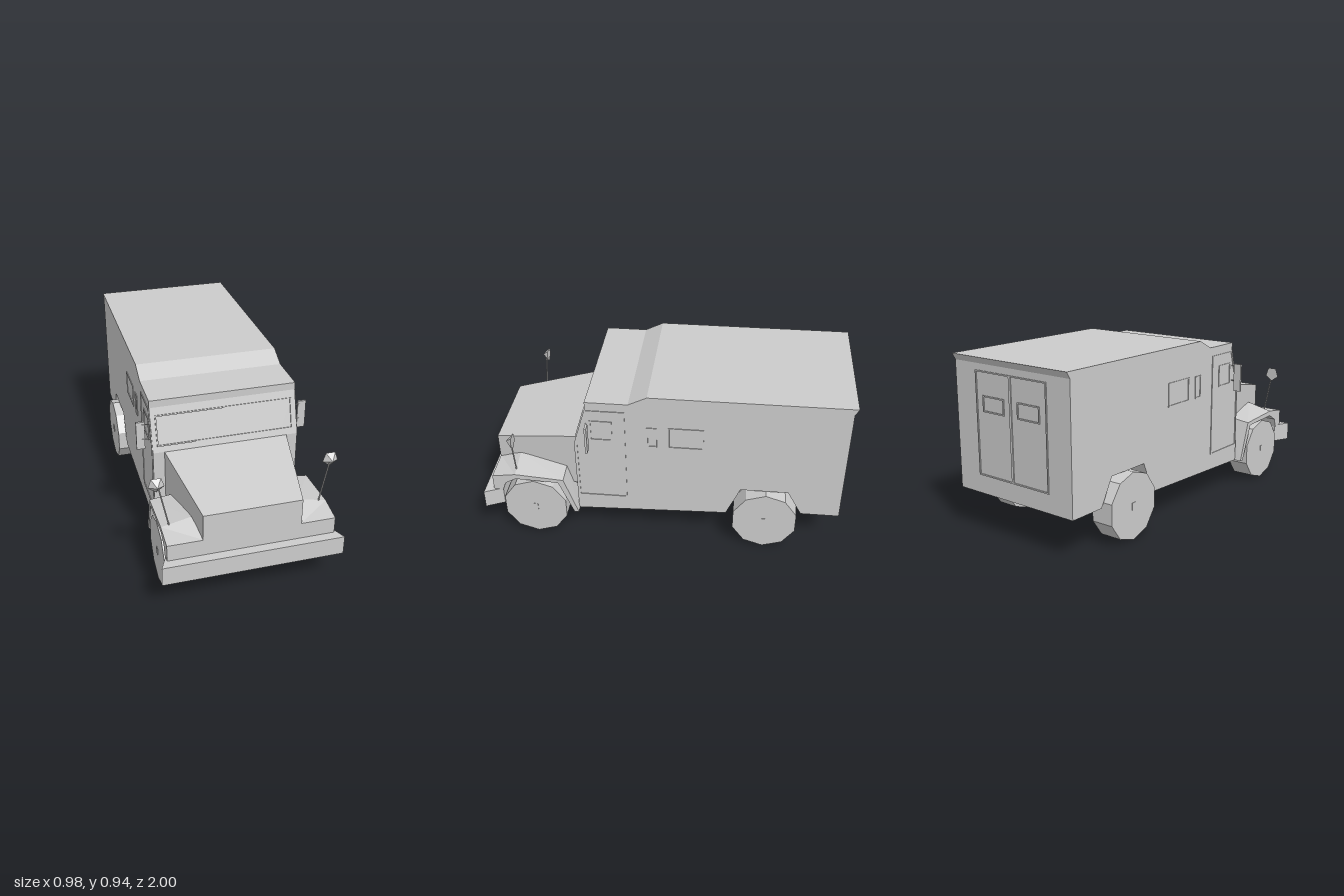
import * as THREE from 'three';

const mat = new THREE.MeshStandardMaterial({ color: 0xcccccc, flatShading: true, side: THREE.DoubleSide });

export function createModel() {
  const root = new THREE.Group();
  const add = (name, geo, parent = root) => {
    const m = new THREE.Mesh(geo, mat);
    m.name = name;
    parent.add(m);
    return m;
  };
  const shape = pts => new THREE.Shape(pts.map(p => new THREE.Vector2(...p)));
  const extrude = (s, depth) => new THREE.ExtrudeGeometry(s, { depth, bevelEnabled: false });

  // Side outline of (z, y) points extruded between two x positions
  const across = (s, x0, x1) => extrude(s, x1 - x0).rotateY(-Math.PI / 2).translate(x1, 0, 0);

  // Thin outline following a polygon
  const frame = (pts, w = 0.007) => {
    const c = [0, 1].map(k => pts.reduce((a, p) => a + p[k], 0) / pts.length);
    const s = shape(pts);
    s.holes.push(new THREE.Path(pts.map(p =>
      new THREE.Vector2(...p.map((v, k) => v - Math.sign(v - c[k]) * w)))));
    return s;
  };
  const rect = (a0, a1, b0, b1) => [[a0, b0], [a1, b0], [a1, b1], [a0, b1]];

  // Solid through a row of cross-sections
  const loft = rings => {
    const v = [], n = rings[0].length;
    const tri = (a, b, c) => v.push(...a, ...b, ...c);
    for (let i = 0; i < rings.length - 1; i++)
      for (let j = 0; j < n; j++) {
        const k = (j + 1) % n, A = rings[i], B = rings[i + 1];
        tri(A[j], A[k], B[k]);
        tri(A[j], B[k], B[j]);
      }
    const first = rings[0], last = rings[rings.length - 1];
    for (let j = 1; j < n - 1; j++) {
      tri(first[0], first[j + 1], first[j]);
      tri(last[0], last[j], last[j + 1]);
    }
    const g = new THREE.BufferGeometry();
    g.setAttribute('position', new THREE.Float32BufferAttribute(v, 3));
    g.computeVertexNormals();
    return g;
  };

  const rod = (a, b, r) => new THREE.TubeGeometry(
    new THREE.LineCurve3(new THREE.Vector3(...a), new THREE.Vector3(...b)), 1, r, 5);

  // Armoured body: full core, plus side walls with wheel arches
  const upper = [[0.48, 0.16], [0.48, 0.62], [0.41, 0.85], [0.41, 0.89], [0.18, 0.89],
    [0.08, 0.94], [-1, 0.94], [-0.98, 0.905], [-0.98, 0.22]];
  const arch = [[-0.77, 0.22], [-0.69, 0.365], [-0.43, 0.365], [-0.355, 0.19]];
  add('bodyCore', across(shape([...upper, [-0.355, 0.19]]), -0.29, 0.29));

  // Bonnet and the engine bay below it
  const ring = (w, y0, y1, z) => [[-w, y0, z], [w, y0, z], [w, y1, z], [-w, y1, z]];
  add('bonnet', loft([ring(0.335, 0.29, 0.62, 0.475), ring(0.255, 0.29, 0.53, 0.95)]));
  add('engineBay', across(shape([[0.47, 0.16], [0.62, 0.2], [0.93, 0.2], [0.93, 0.3], [0.47, 0.3]]), -0.28, 0.28));

  // Bumper, wider at its front edge
  add('bumper', extrude(shape([[-0.475, -1], [0.475, -1], [0.43, -0.9], [-0.43, -0.9]]), 0.105)
    .rotateX(-Math.PI / 2).translate(0, 0.19, 0));

  // Windscreen surround lying on the sloped front
  const screen = add('windscreenFrame', extrude(frame(rect(-0.37, 0.37, -0.083, 0.083)), 0.008));
  screen.position.set(0, 0.73, 0.445);
  screen.rotation.x = -Math.atan2(0.07, 0.23);

  // Fender stations: z, inner x, inner y, outer y, then lower z and y
  const fender = [
    [0.95, 0.25, 0.285, 0.285, 0.9, 0.285],
    [0.95, 0.25, 0.386, 0.386, 0.88, 0.34],
    [0.82, 0.28, 0.44, 0.405, 0.82, 0.375],
    [0.55, 0.31, 0.4, 0.385, 0.58, 0.365],
    [0.475, 0.29, 0.16, 0.16, 0.5, 0.16],
  ];

  for (const [side, s] of [['left', 1], ['right', -1]]) {
    const g = new THREE.Group();
    g.name = side + 'Side';
    root.add(g);
    const slab = (sh, a, b) => s > 0 ? across(sh, a, b) : across(sh, -b, -a);

    add('sideWall', slab(shape([...upper, ...arch]), 0.29, 0.395), g);

    add('fender', loft(fender.map(([z, xi, yi, yo, zl, yl]) => [
      [s * xi, yi, z], [s * 0.437, yo, z], [s * 0.437, yl, zl], [s * xi, yl, zl]])), g);

    // Door outline and side windows
    const outlines = {
      cabDoorFrame: [[0.47, 0.26], [0.47, 0.63], [0.405, 0.84], [0.2, 0.84], [0.2, 0.26]],
      doorWindowFrame: rect(0.27, 0.39, 0.65, 0.775),
      slitWindowFrame: rect(0.03, 0.085, 0.625, 0.75),
      sideWindowFrame: rect(-0.22, -0.03, 0.625, 0.755),
    };
    for (const [name, pts] of Object.entries(outlines))
      add(name, slab(frame(pts), 0.39, 0.399), g);

    // Rear door leaf with its window
    const rearX = (a, b) => s > 0 ? [a, b] : [-b, -a];
    add('rearDoorFrame', extrude(frame(rect(...rearX(0, 0.245), 0.32, 0.87)), 0.01)
      .translate(0, 0, -0.985), g);
    add('rearWindowFrame', extrude(frame(rect(...rearX(0.046, 0.197), 0.66, 0.745)), 0.01)
      .translate(0, 0, -0.985), g);

    // Ten-sided wheels with small hubs
    for (const [name, z] of [['frontWheel', 0.72], ['rearWheel', -0.57]]) {
      add(name, new THREE.CylinderGeometry(0.183, 0.183, 0.125, 10)
        .rotateX(Math.PI / 2).rotateZ(Math.PI).rotateX(-Math.PI / 2)
        .rotateZ(Math.PI / 2).rotateX(Math.PI / 2)
        .translate(s * 0.3755, 0.183, z), g);
      add(name + 'Hub', new THREE.BoxGeometry(0.01, 0.04, 0.025).translate(s * 0.436, 0.183, z), g);
    }

    // Faceted mirror on a fender stalk
    add('fenderMirrorStalk', rod([s * 0.395, 0.41, 0.82], [s * 0.442, 0.64, 0.815], 0.004), g);
    add('fenderMirror', new THREE.ConeGeometry(0.043, 0.035, 5)
      .rotateX(Math.PI / 2).rotateZ(Math.PI).translate(s * 0.449, 0.648, 0.819), g)
      .geometry.translate(-s * 0.449, -0.648, 0).rotateZ(Math.PI).translate(s * 0.449, 0.648, 0);

    // Door mirror on two arms
    add('doorMirror', new THREE.BoxGeometry(0.045, 0.16, 0.012).translate(s * 0.443, 0.69, 0.4), g);
    for (const y of [0.668, 0.755])
      add('doorMirrorArm', rod([s * 0.385, y, 0.41], [s * 0.45, y, 0.402], 0.003), g);
  }
  return root;
}
